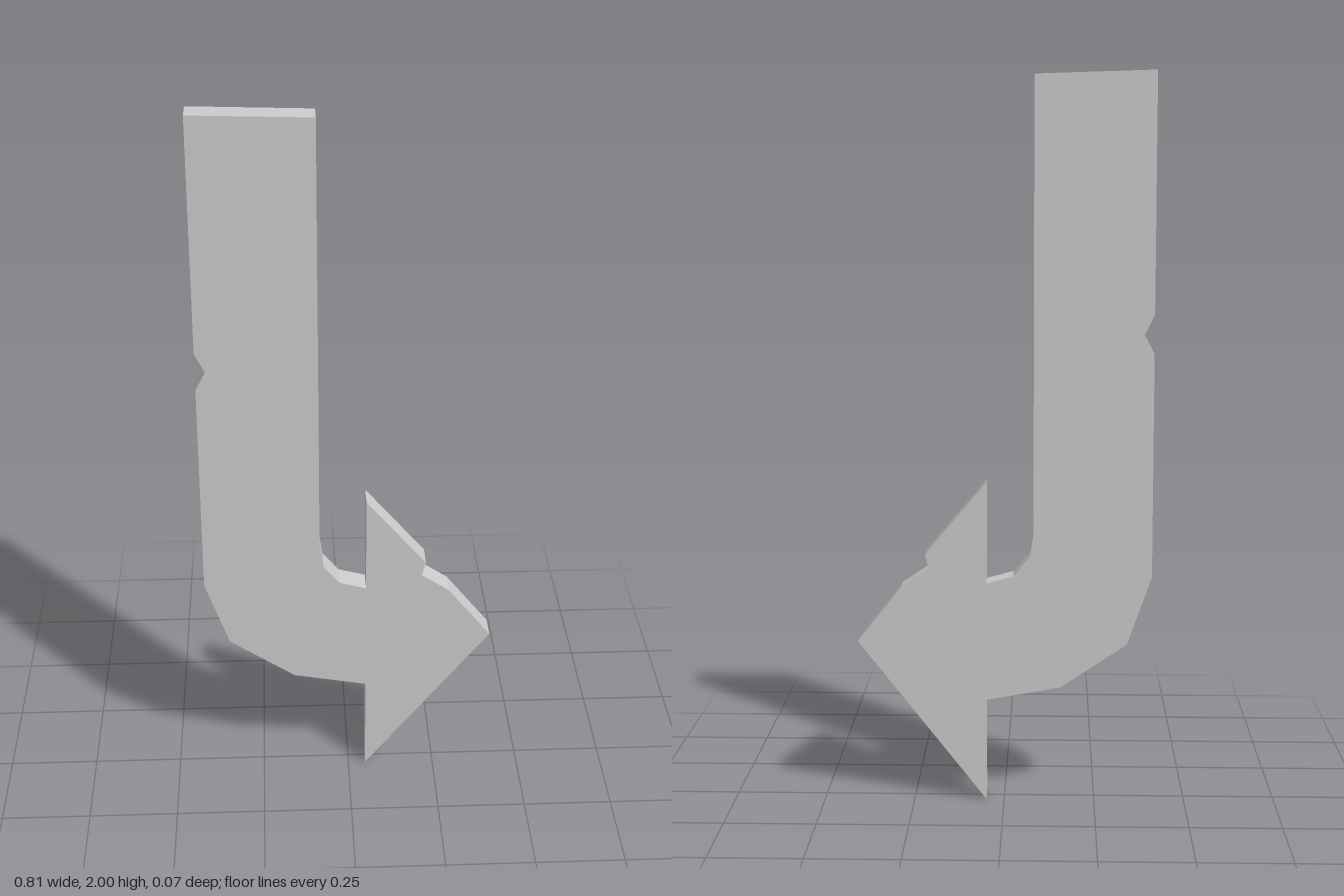
import * as THREE from 'three';

const DEPTH = 0.072;

// Outline of the bent arrow, clockwise from the top left corner
const OUTLINE = [
  // straight shaft, inner edge
  [-0.405, 2], [-0.08, 1.99], [-0.08, 0.755],
  // inner bend
  [-0.07, 0.69], [-0.025, 0.635], [0.05, 0.615],
  // arrow head with a chipped upper edge
  [0.05, 0.895], [0.218, 0.695], [0.207, 0.655], [0.285, 0.602], [0.405, 0.45], [0.05, 0],
  // outer bend
  [0.05, 0.285], [-0.155, 0.322], [-0.338, 0.445], [-0.405, 0.635],
  // shaft, outer edge with a small notch
  [-0.405, 1.25], [-0.378, 1.3], [-0.405, 1.355],
];

export function createModel() {
  const group = new THREE.Group();
  group.name = 'bentArrowSign';

  // Flat plate cut to the arrow outline
  const shape = new THREE.Shape(OUTLINE.map(([x, y]) => new THREE.Vector2(x, y)));
  const geometry = new THREE.ExtrudeGeometry(shape, { depth: DEPTH, bevelEnabled: false });
  geometry.translate(0, 0, -DEPTH / 2);

  const material = new THREE.MeshStandardMaterial({ color: 0xcccccc, flatShading: true });
  const plate = new THREE.Mesh(geometry, material);
  plate.name = 'arrowPlate';
  group.add(plate);
  return group;
}
